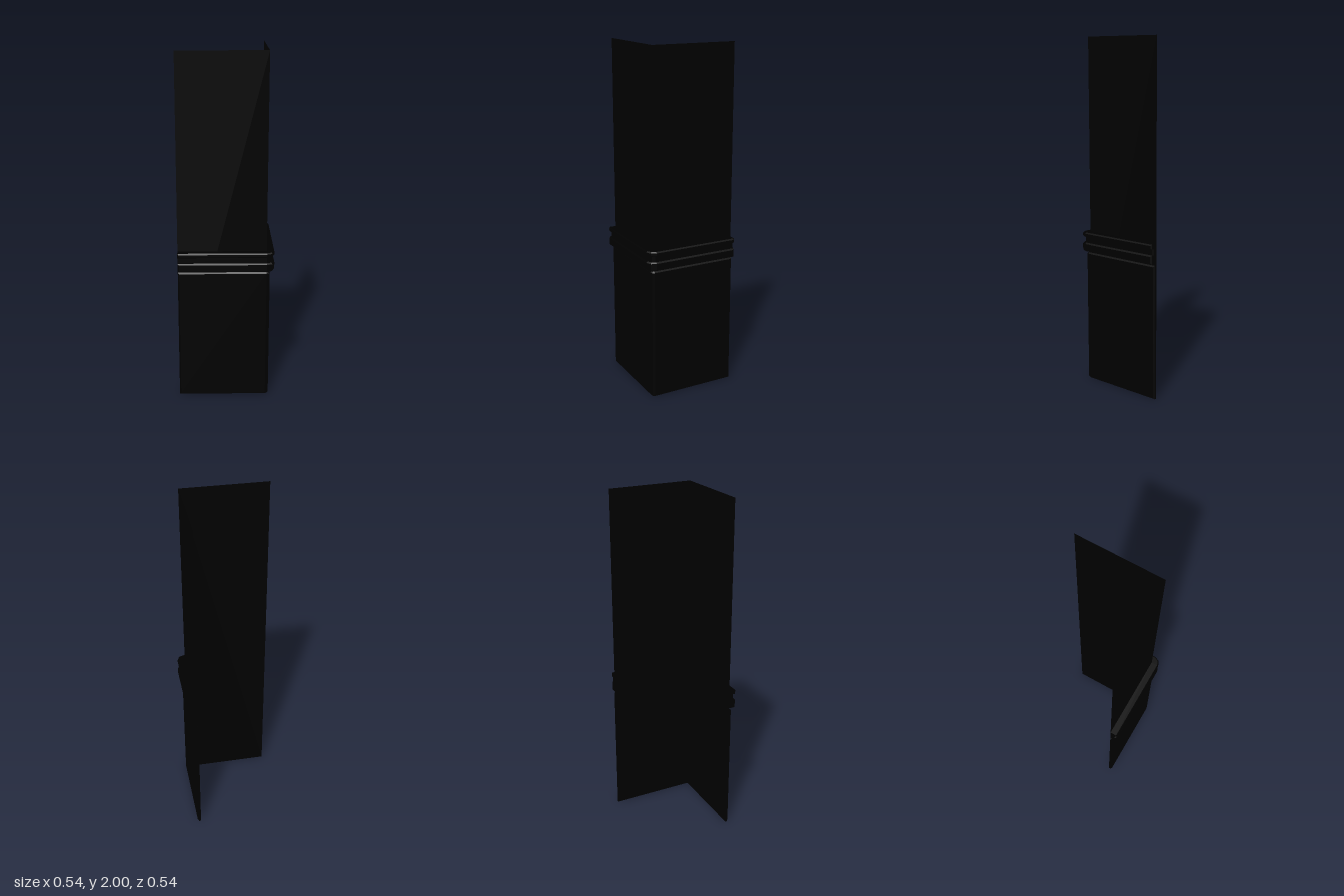
import * as THREE from 'three';

const W = 0.228;   // wall plane
const E = 0.272;   // free ends of both wings

// Path stations for an offset d, its ends drawn in by `inset`; the outer corner turns in two facets
function stations(d, inset) {
  const pts = [[-E + inset, W + d]];
  for (let i = 0; i <= 2; i++) {
    const a = Math.PI / 2 - (i * Math.PI) / 4;
    pts.push([W + d * Math.cos(a), W + d * Math.sin(a)]);
  }
  pts.push([W + d, -E + inset]);
  return pts;
}

// Bevelled strip of depth d from y0 to y1, wrapped round the corner
function strip(name, d, y0, y1, b, material) {
  const profile = [[0, y0], [d - b, y0], [d, y0 + b], [d, y1 - b], [d - b, y1], [0, y1]];
  const rows = profile.map(([o, y], i) =>
    stations(o, i === 2 || i === 3 ? b : 0).map(([x, z]) => new THREE.Vector3(x, y, z)));
  const pos = [];
  const quad = (p, q, r, s) => [p, q, r, p, r, s].forEach((v) => pos.push(v.x, v.y, v.z));
  for (let r = 0; r < 5; r++) {
    for (let k = 0; k < 4; k++) quad(rows[r][k], rows[r][k + 1], rows[r + 1][k + 1], rows[r + 1][k]);
  }
  // End caps with their bevels
  for (const [i, j, k, l] of [[0, 1, 4, 5], [1, 2, 3, 4]]) {
    quad(rows[l][0], rows[i][0], rows[j][0], rows[k][0]);
    quad(rows[l][4], rows[k][4], rows[j][4], rows[i][4]);
  }
  const geo = new THREE.BufferGeometry();
  geo.setAttribute('position', new THREE.Float32BufferAttribute(pos, 3));
  geo.computeVertexNormals();
  const mesh = new THREE.Mesh(geo, material);
  mesh.name = name;
  return mesh;
}

export function createModel() {
  const model = new THREE.Group();
  model.name = 'cornerWall';
  const material = new THREE.MeshStandardMaterial({ color: 0x000000, side: THREE.DoubleSide });

  // Two thin full-height wall sheets meeting at the corner
  const len = W + E;
  const sheet = new THREE.PlaneGeometry(len, 2);
  const front = new THREE.Mesh(sheet, material);
  front.name = 'frontWall';
  front.position.set(W - len / 2, 1, W);
  const side = new THREE.Mesh(sheet, material);
  side.name = 'sideWall';
  side.rotation.y = Math.PI / 2;
  side.position.set(W, 1, W - len / 2);
  model.add(front, side);

  // Lower panel and the stacked rail mouldings
  model.add(
    strip('lowerPanel', 0.019, 0, 0.77, 0.008, material),
    strip('lowerRail', 0.0435, 0.78, 0.832, 0.008, material),
    strip('middleRail', 0.028, 0.825, 0.872, 0.004, material),
    strip('upperRail', 0.0435, 0.865, 0.892, 0.007, material),
  );
  return model;
}
